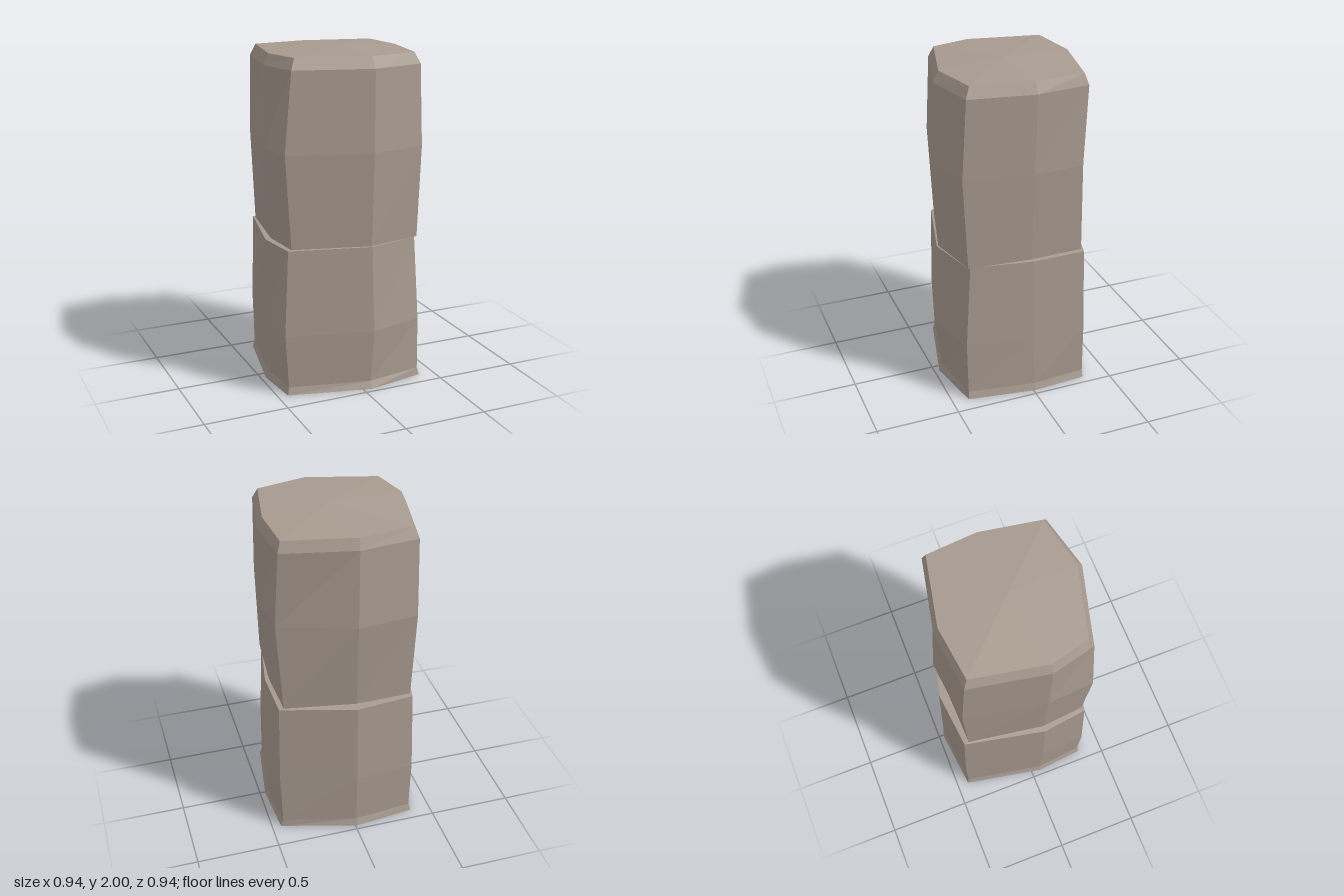
import * as THREE from 'three';

// Each ring: height, then eight [x, z] points counter-clockwise from above:
// front middle, front left, left middle, back left, back middle, back right, right middle, front right
// (left = +x).
const seamLower = [0.885, [[0.05, 0.46], [0.37, 0.365], [0.435, 0], [0.43, -0.325], [-0.01, -0.45], [-0.36, -0.415], [-0.46, 0.07], [-0.425, 0.34]]];

const lowerRings = [
  [0, [[0.05, 0.47], [0.405, 0.4], [0.468, -0.01], [0.445, -0.34], [-0.01, -0.47], [-0.375, -0.43], [-0.47, 0.06], [-0.44, 0.35]]],
  [0.045, [[0.05, 0.45], [0.392, 0.395], [0.455, -0.01], [0.43, -0.34], [-0.01, -0.455], [-0.365, -0.42], [-0.455, 0.06], [-0.428, 0.34]]],
  [0.37, [[0.06, 0.475], [0.387, 0.4], [0.447, 0], [0.44, -0.335], [-0.01, -0.46], [-0.37, -0.43], [-0.458, 0.07], [-0.45, 0.345]]],
  seamLower,
];

const upperRings = [
  seamLower,
  [0.887, [[0.05, 0.45], [0.378, 0.38], [0.41, 0], [0.4, -0.32], [-0.02, -0.395], [-0.355, -0.385], [-0.425, 0.07], [-0.4, 0.33]]],
  [1.44, [[0.05, 0.475], [0.385, 0.408], [0.445, 0], [0.43, -0.3], [-0.01, -0.45], [-0.37, -0.41], [-0.46, 0.07], [-0.44, 0.345]]],
  [1.91, [[0.06, 0.455], [0.382, 0.378], [0.445, -0.01], [0.41, -0.33], [-0.02, -0.42], [-0.37, -0.38], [-0.455, 0.08], [-0.392, 0.335]]],
  [1.975, [[0.055, 0.42], [0.355, 0.35], [0.415, -0.01], [0.39, -0.31], [-0.025, -0.395], [-0.345, -0.355], [-0.425, 0.08], [-0.365, 0.31]]],
];

// Joins rings into faceted walls, with an optional low peak closing the top
function loft(rings, peak) {
  const positions = rings.flatMap(([y, pts]) => pts.flatMap(([x, z]) => [x, y, z]));
  const index = [];
  for (let r = 0; r < rings.length - 1; r++) {
    for (let i = 0; i < 8; i++) {
      const a = r * 8 + i, b = r * 8 + (i + 1) % 8;
      index.push(a, b, b + 8, a, b + 8, a + 8);
    }
  }
  if (peak) {
    positions.push(...peak);
    const top = (rings.length - 1) * 8;
    for (let i = 0; i < 8; i++) index.push(top + i, top + (i + 1) % 8, top + 8);
  }
  const indexed = new THREE.BufferGeometry();
  indexed.setAttribute('position', new THREE.Float32BufferAttribute(positions, 3));
  indexed.setIndex(index);
  const geometry = indexed.toNonIndexed();
  geometry.computeVertexNormals();
  return geometry;
}

export function createModel() {
  const group = new THREE.Group();
  group.name = 'stonePillar';
  const stone = new THREE.MeshStandardMaterial({ color: 0xa89b90, flatShading: true, side: THREE.DoubleSide });
  stone.name = 'warm grey stone';

  // Lower block, open underneath with a slightly flared foot
  const lower = new THREE.Mesh(loft(lowerRings), stone);
  lower.name = 'lowerBlock';

  // Upper block, starting with the narrow ledge and ending in a bevelled, gently peaked top
  const upper = new THREE.Mesh(loft(upperRings, [0.02, 2, 0.02]), stone);
  upper.name = 'upperBlock';

  group.add(lower, upper);
  return group;
}
